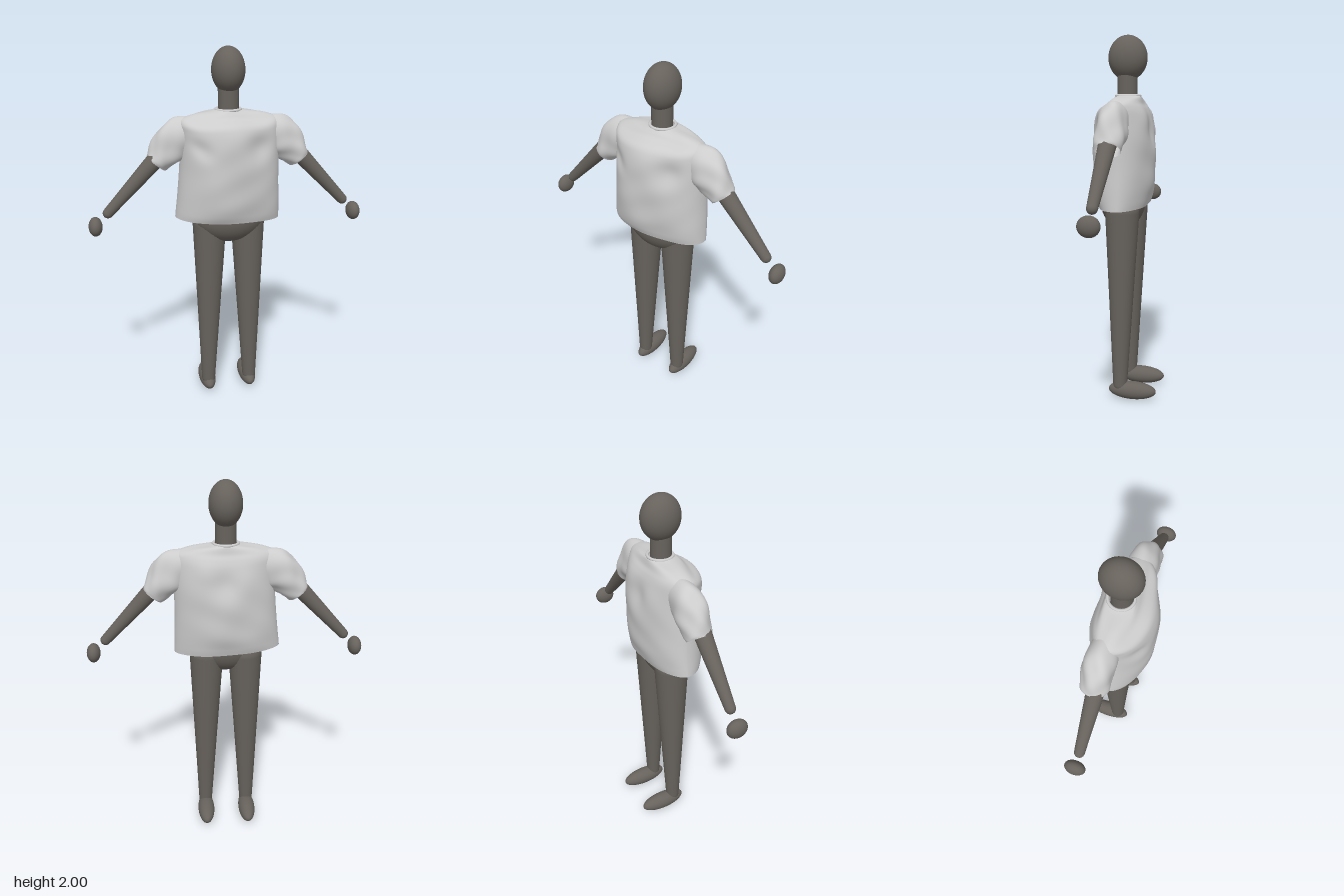
import * as THREE from 'three';

// Smooth interpolation through rows of numbers, t in 0..1
function sampleRows(rows, t) {
  const n = rows.length - 1;
  const f = t * n;
  const i = Math.min(Math.floor(f), n - 1);
  const u = f - i;
  const at = (k) => rows[Math.max(0, Math.min(n, k))];
  return rows[0].map((_, c) => {
    const [p0, p1, p2, p3] = [at(i - 1)[c], at(i)[c], at(i + 1)[c], at(i + 2)[c]];
    return p1 + 0.5 * u * (p2 - p0 + u * (2 * p0 - 5 * p1 + 4 * p2 - p3 + u * (3 * (p1 - p2) + p3 - p0)));
  });
}

// Open tube of closed rings; point(t, angle) returns [x, y, z]
function loft(steps, sides, point) {
  const pos = [];
  const index = [];
  for (let i = 0; i <= steps; i++) {
    for (let j = 0; j < sides; j++) pos.push(...point(i / steps, (j / sides) * Math.PI * 2));
  }
  for (let i = 0; i < steps; i++) {
    for (let j = 0; j < sides; j++) {
      const a = i * sides + j;
      const b = i * sides + ((j + 1) % sides);
      index.push(a, a + sides, b, b, a + sides, b + sides);
    }
  }
  const geo = new THREE.BufferGeometry();
  geo.setAttribute('position', new THREE.Float32BufferAttribute(pos, 3));
  geo.setIndex(index);
  geo.computeVertexNormals();
  return geo;
}

const bump = (x, y, cx, cy, r) => Math.exp(-((x - cx) ** 2 + (y - cy) ** 2) / (r * r));

export function createModel() {
  const model = new THREE.Group();
  const body = new THREE.MeshStandardMaterial({ color: 0x67625c });
  body.name = 'darkBody';
  const cloth = new THREE.MeshStandardMaterial({ color: 0xcccccc, side: THREE.DoubleSide });
  cloth.name = 'lightCloth';

  const add = (name, geo, mat) => {
    const mesh = new THREE.Mesh(geo, mat);
    mesh.name = name;
    model.add(mesh);
    return mesh;
  };
  const ellipsoid = (name, p, r) => {
    const mesh = add(name, new THREE.SphereGeometry(1, 40, 28), body);
    mesh.position.set(...p);
    mesh.scale.set(...r);
  };
  // Tapered limb with rounded ends between two points
  const limb = (name, from, to, r0, r1) => {
    const a = new THREE.Vector3(...from);
    const d = new THREE.Vector3(...to).sub(a);
    const len = d.length();
    const profile = [];
    for (let i = 0; i <= 8; i++) {
      const q = (i / 8) * Math.PI / 2;
      profile.push(new THREE.Vector2(r0 * Math.sin(q), -r0 * Math.cos(q)));
    }
    for (let i = 0; i <= 8; i++) {
      const q = (i / 8) * Math.PI / 2;
      profile.push(new THREE.Vector2(r1 * Math.cos(q), len + r1 * Math.sin(q)));
    }
    const mesh = add(name, new THREE.LatheGeometry(profile, 32), body);
    mesh.position.copy(a);
    mesh.quaternion.setFromUnitVectors(new THREE.Vector3(0, 1, 0), d.normalize());
  };

  // Mannequin
  ellipsoid('head', [0, 1.88, 0], [0.088, 0.12, 0.107]);
  add('neck', new THREE.CylinderGeometry(0.055, 0.055, 0.24, 32), body).position.set(0, 1.7, 0.003);
  ellipsoid('torso', [0, 1.38, 0.01], [0.18, 0.24, 0.1]);
  ellipsoid('pelvis', [0, 1.1, 0.025], [0.195, 0.148, 0.118]);
  for (const [side, s] of [['left', 1], ['right', -1]]) {
    limb(side + 'Arm', [s * 0.28, 1.545, 0.01], [s * 0.655, 1.148, 0.012], 0.054, 0.028);
    ellipsoid(side + 'Hand', [s * 0.725, 1.075, 0.009], [0.037, 0.052, 0.057]);
    limb(side + 'Leg', [s * 0.107, 1.05, 0.006], [s * 0.123, 0.08, 0.015], 0.093, 0.039);
    ellipsoid(side + 'Foot', [s * 0.122, 0.05, -0.054], [0.048, 0.05, 0.135]);
  }

  // Shirt body rows from hem to neck: y, right edge, left edge, front z, back z
  const shirtRows = [
    [1.09, -0.295, 0.283, 0.155, -0.118],
    [1.13, -0.291, 0.282, 0.17, -0.13],
    [1.2, -0.283, 0.28, 0.184, -0.145],
    [1.3, -0.273, 0.276, 0.19, -0.149],
    [1.4, -0.265, 0.275, 0.192, -0.15],
    [1.5, -0.262, 0.275, 0.187, -0.14],
    [1.57, -0.265, 0.275, 0.175, -0.122],
    [1.61, -0.268, 0.272, 0.152, -0.105],
    [1.637, -0.25, 0.255, 0.102, -0.088],
    [1.66, -0.18, 0.185, 0.08, -0.08],
    [1.673, -0.095, 0.095, 0.07, -0.075],
    [1.68, -0.068, 0.068, 0.06, -0.066],
  ];
  add('shirtBody', loft(88, 112, (t, q) => {
    const [y, x0, x1, zf, zb] = sampleRows(shirtRows, t);
    const c = Math.cos(q);
    const s = Math.sin(q);
    const x = (x0 + x1) / 2 + (c * (x1 - x0)) / 2;
    let z = s > 0 ? zf * s ** 0.95 : zb * (-s) ** 1.12;
    z *= 1 - 0.18 * c * (s > 0 ? 1 : -0.3) * s * s; // slight twist of the cloth
    // Folds fade out at the neck
    const k = Math.abs(s) * (1 - t ** 6);
    if (s > 0) {
      z -= k * (0.026 * bump(x, y, 0.15, 1.5, 0.07) + 0.02 * bump(x, y, -0.17 + (1.5 - y) * 0.5, 1.5, 0.05));
    } else {
      z += k * (0.018 * bump(x, y, 0, 1.5, 0.07) - 0.006 * bump(x, y, 0.12, 1.55, 0.06));
    }
    z += k * 0.002 * Math.sin(24 * x + 13 * y) + k * 0.0015 * Math.sin(37 * y - 17 * x + 2 * s);
    const sag = (1 - t) ** 3 * 0.045 * x;
    return [x, y - sag + 0.004 * Math.sin(5 * q) * Math.sin(Math.PI * t), z];
  }), cloth);

  // Neckband
  const collar = add('collar', new THREE.TorusGeometry(0.065, 0.008, 10, 48), cloth);
  collar.rotation.x = Math.PI / 2;
  collar.position.set(0, 1.678, -0.002);

  // Sleeve rows from shoulder to cuff: x, y, direction angle, half height, half depth
  const sleeveRows = [
    [0.18, 1.565, -0.3, 0.085, 0.065],
    [0.25, 1.54, -0.45, 0.112, 0.076],
    [0.3, 1.505, -0.68, 0.106, 0.08],
    [0.345, 1.46, -0.82, 0.086, 0.077],
    [0.378, 1.417, -0.9, 0.068, 0.072],
    [0.388, 1.403, -0.9, 0.063, 0.067],
  ];
  for (const [side, m] of [['left', 1], ['right', -1]]) {
    add(side + 'Sleeve', loft(36, 56, (t, q) => {
      const [x, y, a, h, d] = sampleRows(sleeveRows, t);
      const fold = 1 + Math.sin(Math.PI * t) * (0.05 * Math.sin(3 * q + 9 * t + m) + 0.035 * Math.sin(5 * q - 12 * t));
      const n = Math.cos(q) * h * fold;
      return [
        m * (x + Math.sin(a) * n),
        y - Math.cos(a) * n,
        0.004 + m * (0.008 + Math.sin(q) * d * fold),
      ];
    }), cloth);
  }
  return model;
}
